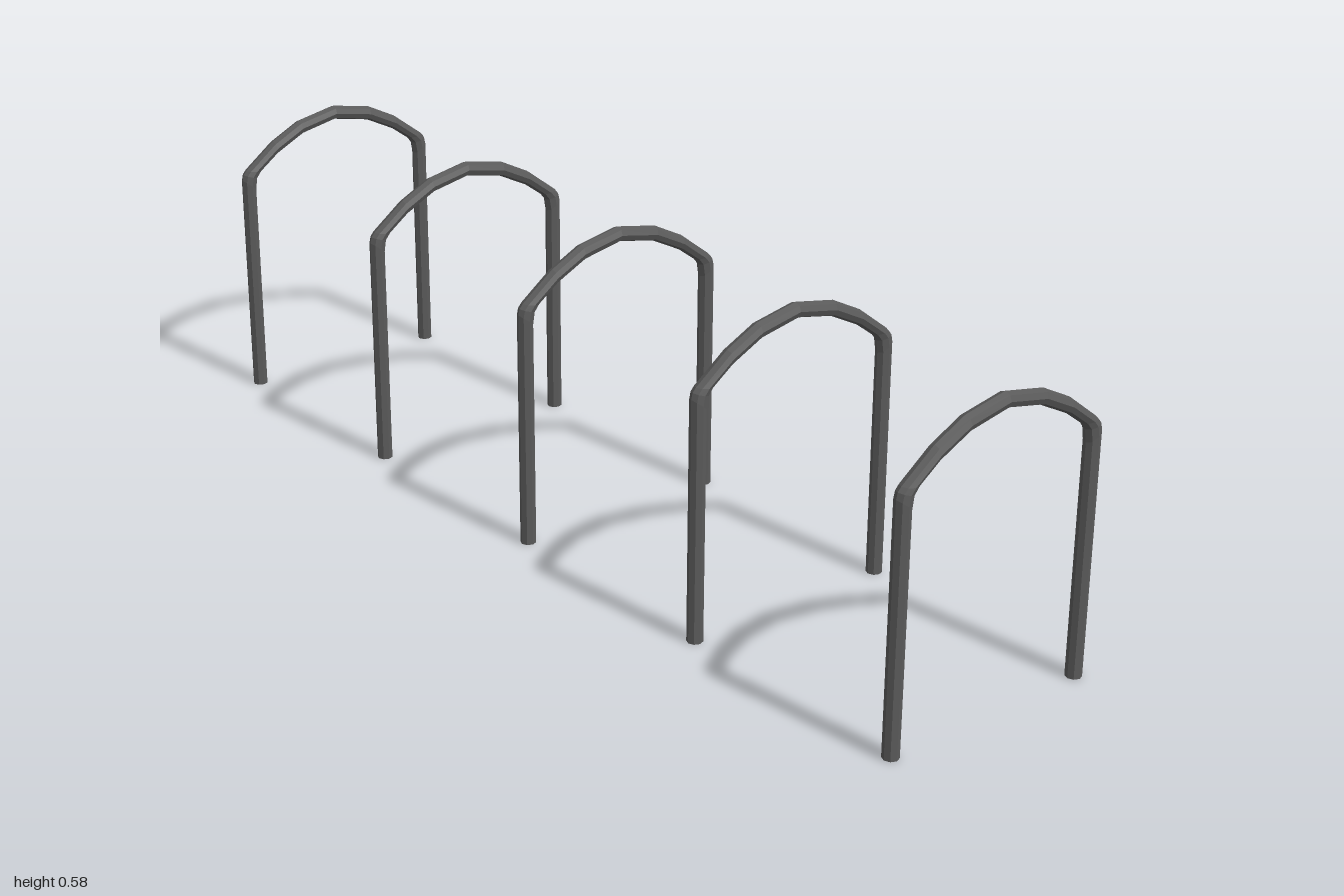
import * as THREE from 'three';

const SIDES = 8, RADIUS = 0.015, HOOPS = 5, SPACING = 0.4925;

// Half profile of the bent bar: [outer x, outer y, inner x, inner y], foot to crown
const HALF = [
  [0.23, 0, 0.2, 0],
  [0.23, 0.463, 0.2, 0.44],
  [0.227, 0.475, 0.196, 0.465],
  [0.22, 0.483, 0.185, 0.479],
  [0.152, 0.535, 0.147, 0.507],
  [0.087, 0.568, 0.083, 0.539],
  [0, 0.585, 0, 0.556],
];

// Sweep an octagonal section from the right foot over the crown to the left foot
function hoopGeometry() {
  const rings = [
    ...HALF.map(([ox, oy, ix, iy]) => [-ox, oy, -ix, iy]),
    ...HALF.slice(0, -1).reverse(),
  ];
  const pos = [], index = [];
  for (const [ox, oy, ix, iy] of rings) {
    for (let j = 0; j < SIDES; j++) {
      const a = (j / SIDES) * Math.PI * 2, c = Math.cos(a) / 2;
      pos.push((ox + ix) / 2 + (ox - ix) * c, (oy + iy) / 2 + (oy - iy) * c, RADIUS * Math.sin(a));
    }
  }
  for (let i = 0; i < rings.length - 1; i++) {
    for (let j = 0; j < SIDES; j++) {
      const k = (j + 1) % SIDES;
      const a = i * SIDES + j, b = i * SIDES + k;
      index.push(a, b, b + SIDES, a, b + SIDES, a + SIDES);
    }
  }
  // Closed feet
  const last = (rings.length - 1) * SIDES;
  for (let j = 1; j < SIDES - 1; j++) {
    index.push(0, j + 1, j, last, last + j, last + j + 1);
  }
  const geo = new THREE.BufferGeometry();
  geo.setAttribute('position', new THREE.Float32BufferAttribute(pos, 3));
  geo.setIndex(index);
  const flat = geo.toNonIndexed();
  flat.computeVertexNormals();
  return flat;
}

export function createModel() {
  const group = new THREE.Group();
  group.name = 'hoopRow';
  const darkMetal = new THREE.MeshStandardMaterial({ color: 0x5a5a5a });
  darkMetal.name = 'darkMetal';
  const geo = hoopGeometry();

  // Row of identical hoops, front to back
  for (let i = 0; i < HOOPS; i++) {
    const hoop = new THREE.Mesh(geo, darkMetal);
    hoop.name = `hoop${i + 1}`;
    hoop.position.z = ((HOOPS - 1) / 2 - i) * SPACING;
    group.add(hoop);
  }
  return group;
}
